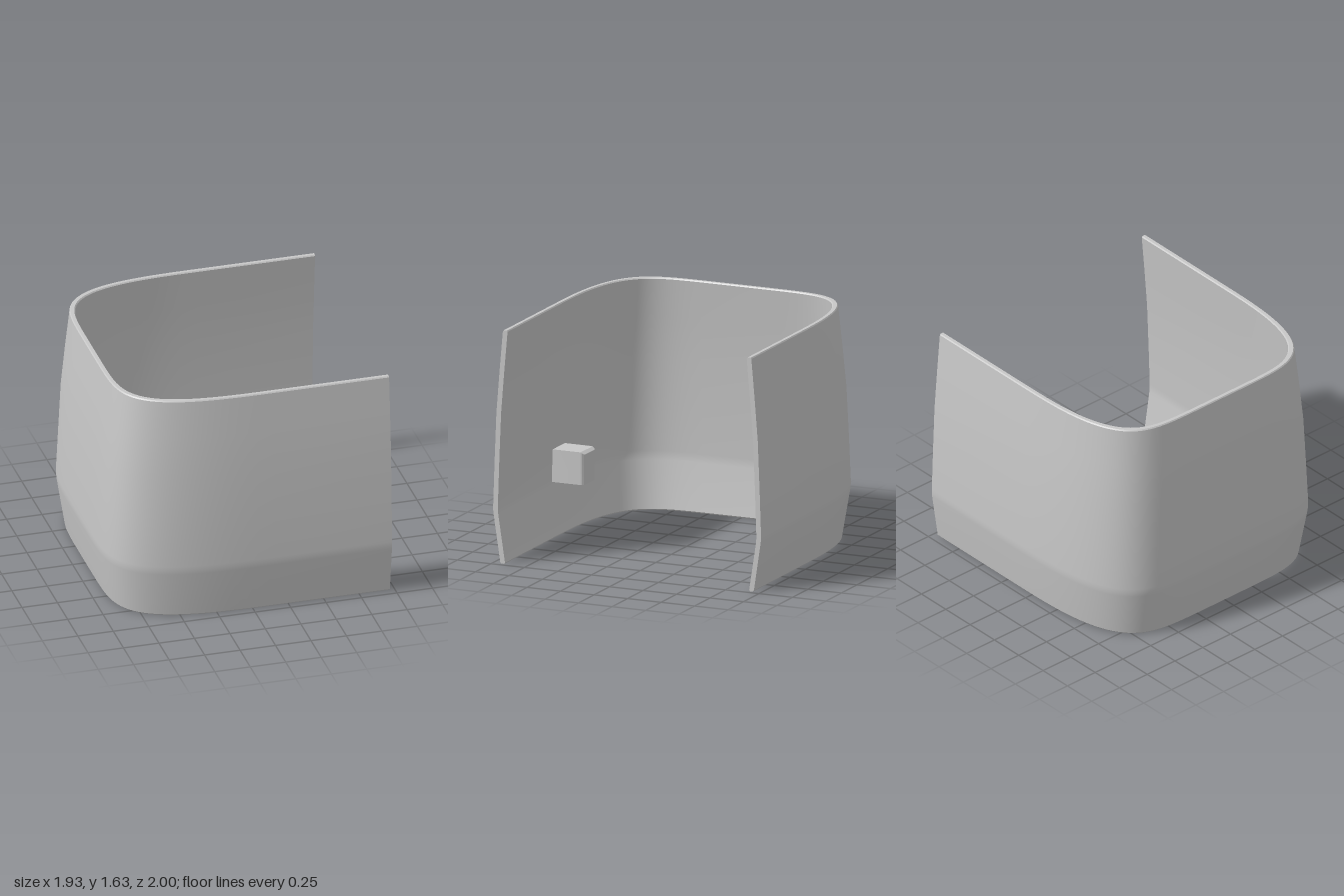
import * as THREE from 'three';
import { toCreasedNormals } from 'three/addons/utils/BufferGeometryUtils.js';

const THICK = 0.035, END_X = 0.965, CENTER_X = 0.15;
const POWER_X = 3, POWER_Z = 5.7; // long sweep along the sides, tighter turn into the end

// Wall profile: height, inset of the rounded end, inset of the side walls
const PROFILE = [
  [0, 0.06, 0.061], [0.008, 0.053, 0.054], [0.34, 0.004, 0.004], [0.37, 0.001, 0.001],
  [0.4, 0.001, 0.001], [0.7, 0.015, 0.011], [1.05, 0.031, 0.025], [1.35, 0.058, 0.049],
  [1.622, 0.086, 0.073], [1.63, 0.092, 0.079],
];

// Plan outline of the softly squared end
function planPoint(t, dx, dz) {
  const s = Math.sin(t), c = Math.cos(t);
  return [
    CENTER_X - (END_X + CENTER_X - dx) * Math.pow(s, 2 / POWER_X),
    Math.sign(c) * (1 - dz) * Math.pow(Math.abs(c), 2 / POWER_Z),
  ];
}

function wallGeometry() {
  const last = PROFILE.length - 1;
  const section = [
    ...PROFILE,
    ...PROFILE.map(([y, dx, dz], i) => {
      const rim = i === 0 || i === last ? -0.012 : 0; // soft rim edges
      return [y, dx + THICK + rim, dz + THICK + rim];
    }).reverse(),
  ];
  const n = section.length, steps = 80, pos = [], index = [];
  // First and last rows carry the straight side walls to the open end
  for (let j = -1; j <= steps + 1; j++) {
    const t = Math.PI * Math.min(Math.max(j, 0), steps) / steps;
    for (const [y, dx, dz] of section) {
      const [x, z] = planPoint(Math.min(t, Math.PI - 1e-9), dx, dz);
      pos.push(j < 0 || j > steps ? END_X : x, y, z);
    }
  }
  const rows = steps + 3;
  for (let j = 0; j < rows - 1; j++) {
    for (let i = 0; i < n; i++) {
      const a = j * n + i, b = j * n + (i + 1) % n, c = a + n, d = b + n;
      index.push(a, b, c, b, d, c);
    }
  }
  // Flat end faces of the two side walls
  const e = (rows - 1) * n;
  for (let i = 0; i < last; i++) {
    const o = i, p = i + 1, q = n - 1 - i, r = n - 2 - i;
    index.push(o, q, p, p, q, r);
    index.push(e + o, e + p, e + q, e + p, e + r, e + q);
  }
  const g = new THREE.BufferGeometry();
  g.setAttribute('position', new THREE.Float32BufferAttribute(pos, 3));
  g.setIndex(index);
  return toCreasedNormals(g, THREE.MathUtils.degToRad(10));
}

// Block on the inside of a side wall; inner vertical edges rounded, top inner edge sloped
function pegGeometry(side, reach) {
  const r = 0.028, x0 = -0.103, x1 = 0.092, root = 0.975, y0 = 0.37, height = 0.228;
  const s = new THREE.Shape();
  s.moveTo(x0, -root);
  s.lineTo(x1, -root);
  s.lineTo(x1, -reach - r);
  s.absarc(x1 - r, -reach - r, r, 0, Math.PI / 2, false);
  s.absarc(x0 + r, -reach - r, r, Math.PI / 2, Math.PI, false);
  s.closePath();
  const g = new THREE.ExtrudeGeometry(s, { depth: height, bevelEnabled: false, curveSegments: 6 });
  g.rotateX(-Math.PI / 2);
  g.translate(0, y0, 0);
  const p = g.attributes.position;
  for (let i = 0; i < p.count; i++) {
    if (p.getY(i) > y0 + 0.1) p.setY(i, p.getY(i) - 0.6 * Math.max(0, reach + r - p.getZ(i)));
  }
  if (side < 0) {
    g.rotateY(Math.PI);
    g.translate(x0 + x1, 0, 0);
  }
  return toCreasedNormals(g, THREE.MathUtils.degToRad(25));
}

export function createModel() {
  const group = new THREE.Group();
  group.name = 'openShell';
  const gray = new THREE.MeshStandardMaterial({ color: 0xc8c8c8 });
  gray.name = 'lightGray';

  const add = (name, geometry) => {
    const mesh = new THREE.Mesh(geometry, gray);
    mesh.name = name;
    group.add(mesh);
  };
  add('curvedWall', wallGeometry());
  add('frontPeg', pegGeometry(1, 0.725));
  add('backPeg', pegGeometry(-1, 0.745));
  return group;
}
